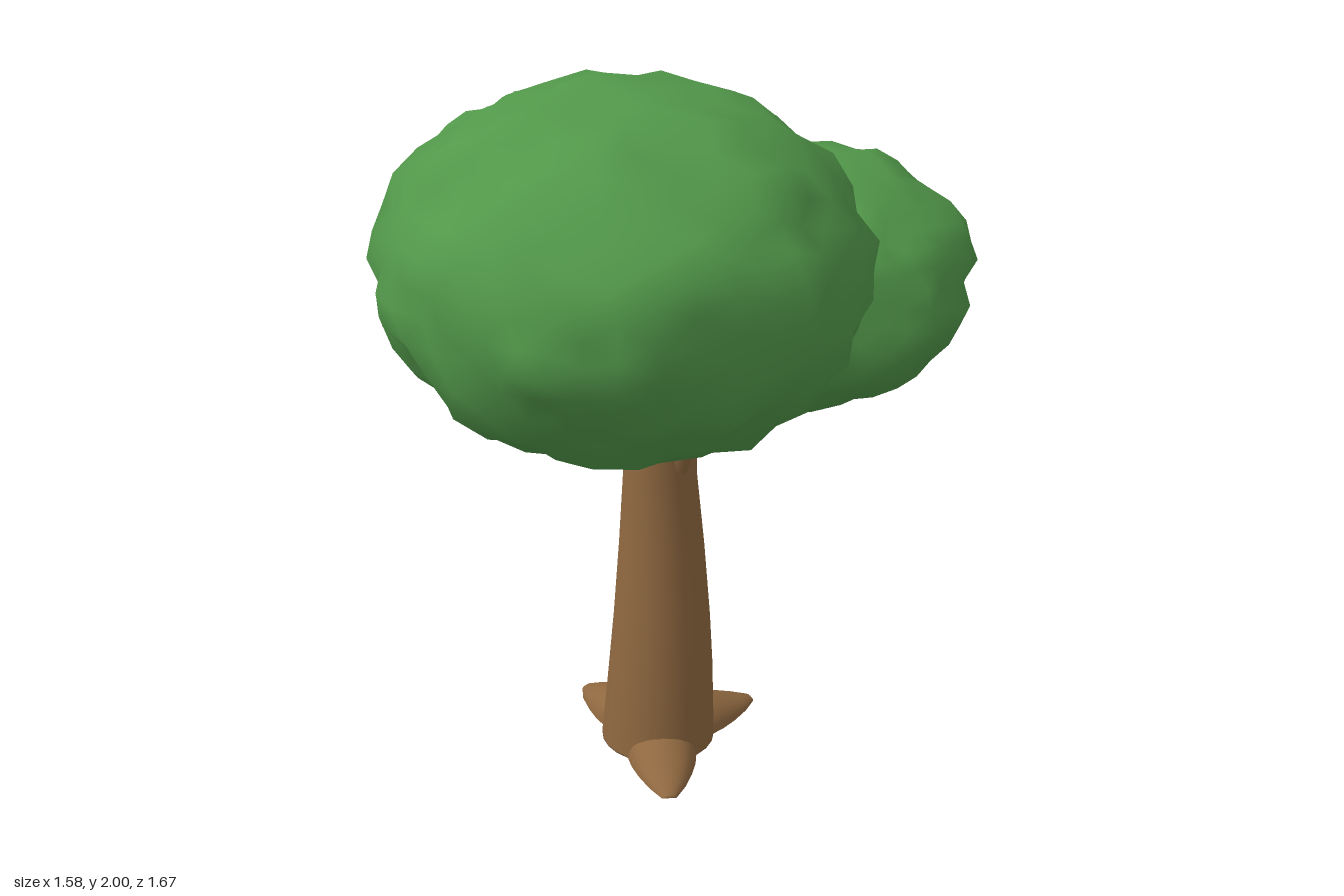
import * as THREE from 'three';
import { mergeVertices } from 'three/addons/utils/BufferGeometryUtils.js';

const bark = new THREE.MeshStandardMaterial({ color: 0x8f6840, side: THREE.DoubleSide });
const leaf = new THREE.MeshStandardMaterial({ color: 0x52984a });
const TRUNK_X = 0.105, TRUNK_Z = 0.03;

function seeded(seed) {
  let s = seed;
  return () => {
    s = (s * 16807) % 2147483647;
    return s / 2147483647;
  };
}

function add(group, name, geometry, material) {
  const mesh = new THREE.Mesh(geometry, material);
  mesh.name = name;
  group.add(mesh);
  return mesh;
}

// Ragged, lumpy clump of leaves; radii are [x, up, z, down], tilt turns it about z
function foliage(center, [rx, up, rz, down], tilt, seed) {
  let geo = new THREE.IcosahedronGeometry(1, 6);
  geo.deleteAttribute('normal');
  geo.deleteAttribute('uv');
  geo = mergeVertices(geo, 1e-4);
  const rand = seeded(seed);
  const pos = geo.attributes.position;
  const v = new THREE.Vector3();
  for (let i = 0; i < pos.count; i++) {
    v.fromBufferAttribute(pos, i);
    const lump = Math.sin(v.x * 5 + seed) * Math.sin(v.y * 4 + seed * 2) * Math.sin(v.z * 5 + seed * 3);
    v.multiplyScalar(0.972 + 0.02 * lump + 0.09 * (rand() - 0.5));
    pos.setXYZ(i, v.x * rx, v.y * (v.y > 0 ? up : down), v.z * rz);
  }
  geo.computeVertexNormals();
  geo.rotateZ(tilt);
  geo.translate(...center);
  return geo;
}

// Tube along a curve, thinning towards its end
function taperedTube(points, r0, r1) {
  const curve = new THREE.CatmullRomCurve3(points.map(p => new THREE.Vector3(...p)));
  const rings = 10, sides = 10;
  const geo = new THREE.TubeGeometry(curve, rings, 1, sides);
  const pos = geo.attributes.position;
  const v = new THREE.Vector3();
  for (let i = 0; i < pos.count; i++) {
    const t = Math.floor(i / (sides + 1)) / rings;
    const c = curve.getPointAt(t);
    v.fromBufferAttribute(pos, i).sub(c).multiplyScalar(r0 + (r1 - r0) * t).add(c);
    pos.setXYZ(i, v.x, v.y, v.z);
  }
  return geo;
}

// Arched root: half-round sections shrinking from the trunk to a blunt tip
function rootGeometry(length) {
  const sections = [[0.04, 0.1, 0.09], [0.12, 0.098, 0.088], [0.17, 0.09, 0.075],
    [0.22, 0.075, 0.053], [0.28, 0.05, 0.03], [length, 0.02, 0.01], [length, 0, 0]];
  const arc = 12, verts = [], index = [];
  for (const [d, w, h] of sections) {
    for (let j = 0; j <= arc; j++) {
      const a = Math.PI * j / arc;
      verts.push(d, h * Math.sin(a), w * Math.cos(a));
    }
  }
  const n = arc + 1;
  for (let i = 0; i < sections.length - 1; i++) {
    for (let j = 0; j < arc; j++) {
      const a = i * n + j, b = a + n;
      index.push(a, b, a + 1, b, b + 1, a + 1);
    }
  }
  const geo = new THREE.BufferGeometry();
  geo.setAttribute('position', new THREE.Float32BufferAttribute(verts, 3));
  geo.setIndex(index);
  geo.computeVertexNormals();
  return geo;
}

export function createModel() {
  const tree = new THREE.Group();
  tree.name = 'tree';

  // Trunk, bowed slightly forward at mid height
  const profile = [[0, 0], [0.16, 0], [0.16, 0.005], [0.154, 0.1], [0.145, 0.25], [0.134, 0.4],
    [0.117, 0.62], [0.1, 0.83], [0.096, 1.1], [0.09, 1.3], [0, 1.3]];
  const trunkGeo = new THREE.LatheGeometry(profile.map(p => new THREE.Vector2(...p)), 24);
  const pos = trunkGeo.attributes.position;
  for (let i = 0; i < pos.count; i++) {
    const t = Math.min(pos.getY(i) / 0.83, 1);
    pos.setZ(i, pos.getZ(i) + 0.012 * Math.sin(Math.PI * t));
  }
  const trunk = add(tree, 'trunk', trunkGeo, bark);
  trunk.position.set(TRUNK_X, 0, TRUNK_Z);

  // Three roots, placed by their tips
  const roots = new THREE.Group();
  roots.name = 'roots';
  tree.add(roots);
  [[-0.1, 0.29], [0.43, 0.08], [0.12, -0.29]].forEach(([x, z], i) => {
    const dx = x - TRUNK_X, dz = z - TRUNK_Z;
    const root = add(roots, 'root' + (i + 1), rootGeometry(Math.hypot(dx, dz)), bark);
    root.position.set(TRUNK_X, 0, TRUNK_Z);
    root.rotation.y = Math.atan2(-dz, dx);
  });

  // Branches reaching into the leaves, some with a short fork
  const branches = new THREE.Group();
  branches.name = 'branches';
  tree.add(branches);
  const limbs = [
    ['frontBranch', [[0.1, 0.87, 0.1], [0.1, 0.96, 0.13], [0.105, 1.06, 0.165], [0.12, 1.18, 0.21]], 0.034, 0.02],
    ['frontFork', [[0.105, 1.02, 0.15], [0.08, 1.08, 0.17], [0.06, 1.16, 0.18]], 0.018, 0.012],
    ['backBranch', [[0.11, 0.87, -0.04], [0.11, 0.98, -0.085], [0.1, 1.1, -0.13], [0.09, 1.25, -0.18]], 0.034, 0.02],
    ['rightBranch', [[0.04, 1.01, 0.05], [-0.01, 1.06, 0.06], [-0.07, 1.11, 0.07], [-0.13, 1.18, 0.07]], 0.03, 0.018],
    ['rightFork', [[-0.03, 1.08, 0.065], [-0.06, 1.13, 0.03], [-0.07, 1.2, 0.02]], 0.018, 0.012],
    ['leftBranch', [[0.18, 1.02, 0.07], [0.2, 1.1, 0.07], [0.24, 1.2, 0.075]], 0.02, 0.014],
  ];
  for (const [name, points, r0, r1] of limbs) add(branches, name, taperedTube(points, r0, r1), bark);

  // Leaf clumps
  const crown = new THREE.Group();
  crown.name = 'crown';
  tree.add(crown);
  add(crown, 'largeFoliage', foliage([-0.2, 1.535, 0.21], [0.6, 0.465, 0.62, 0.46], 0, 11), leaf);
  add(crown, 'leftFoliage', foliage([0.335, 1.405, 0.3], [0.46, 0.325, 0.445, 0.325], 0.16, 23), leaf);
  add(crown, 'backFoliage', foliage([0.125, 1.43, -0.385], [0.485, 0.37, 0.45, 0.255], 0, 37), leaf);

  return tree;
}
